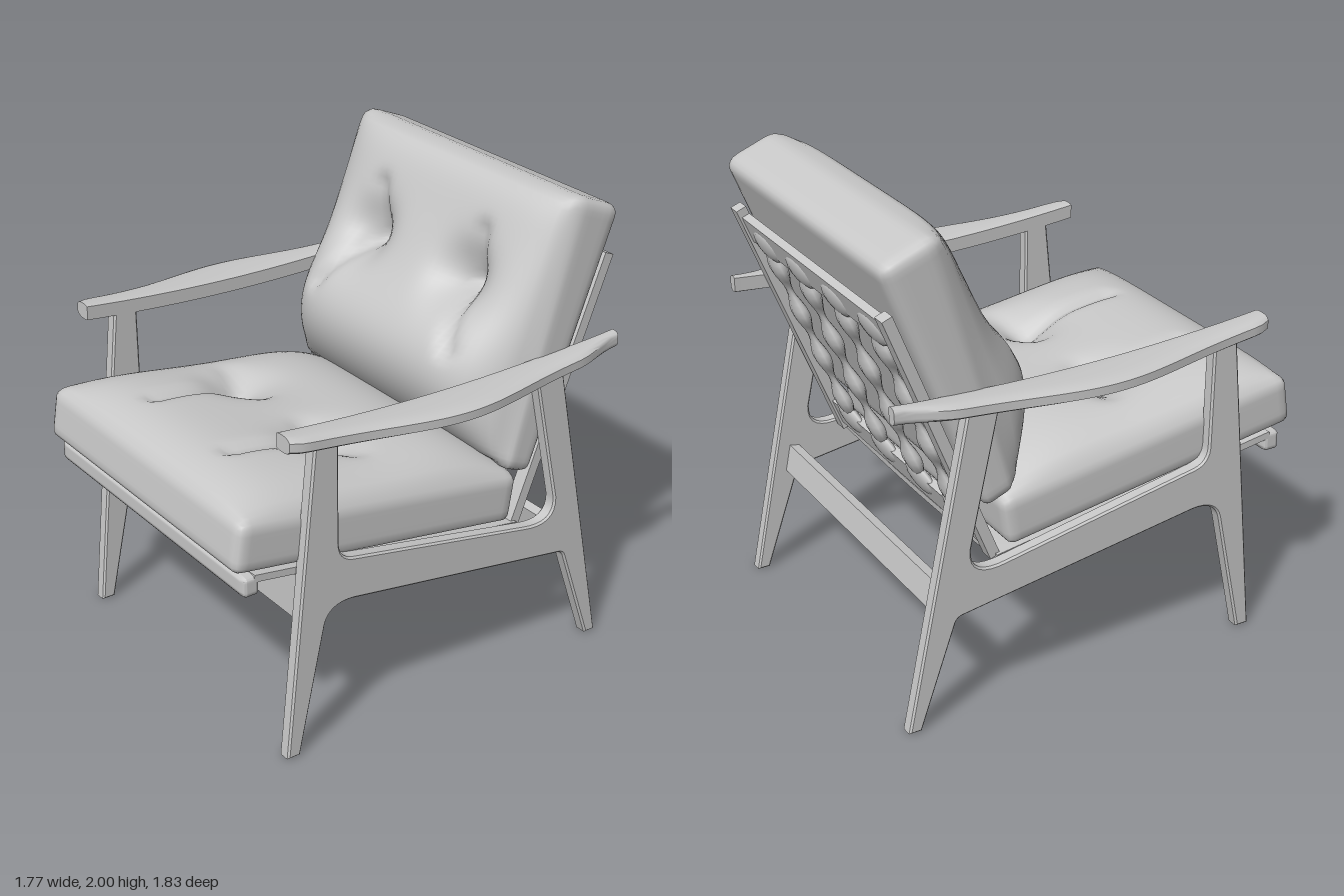
import * as THREE from 'three';
import { mergeVertices, toCreasedNormals } from 'three/addons/utils/BufferGeometryUtils.js';

const grey = new THREE.MeshStandardMaterial({ color: 0xc8c8c8 });
grey.name = 'light grey';

function add(parent, name, geometry, x = 0, y = 0, z = 0) {
  const mesh = new THREE.Mesh(geometry, grey);
  mesh.name = name;
  mesh.position.set(x, y, z);
  parent.add(mesh);
  return mesh;
}

// Moves every vertex of a geometry by a rule, then smooths it with sharp creases
function warp(geometry, rule, crease = 0.7) {
  const p = geometry.attributes.position;
  const v = new THREE.Vector3();
  for (let i = 0; i < p.count; i++) {
    rule(v.fromBufferAttribute(p, i));
    p.setXYZ(i, v.x, v.y, v.z);
  }
  geometry.deleteAttribute('uv');
  geometry.deleteAttribute('normal');
  return toCreasedNormals(mergeVertices(geometry, 1e-4), crease);
}

const bell = (d, r) => Math.exp(-(d * d) / (r * r));

// Distance from a point to a segment, for cushion creases
function segmentDistance(x, z, ax, az, bx, bz) {
  const dx = bx - ax, dz = bz - az;
  const t = THREE.MathUtils.clamp(((x - ax) * dx + (z - az) * dz) / (dx * dx + dz * dz), 0, 1);
  return Math.hypot(x - ax - t * dx, z - az - t * dz);
}

// Rounded block whose upper face is raised by swell(x, z)
function cushion(w, h, l, r, swell) {
  const inner = new THREE.Vector3(w / 2 - r, h / 2 - r, l / 2 - r);
  const low = inner.clone().negate();
  const core = new THREE.Vector3();
  return warp(new THREE.BoxGeometry(w, h, l, 48, 8, 48), (v) => {
    const lift = swell(v.x, v.z);
    core.copy(v).clamp(low, inner);
    v.sub(core).setLength(r).add(core);
    v.y += lift * (v.y / h + 0.5);
  }, 1.2);
}

function seatSwell(x, z) {
  const ax = Math.abs(x);
  const dome = (1 - Math.pow(ax / 0.71, 6)) * (1 - Math.pow(Math.abs(z) / 0.68, 6));
  const tuft = 0.075 * bell(Math.hypot(ax - 0.3, z - 0.03), 0.13);
  const fold = 0.03 * bell(segmentDistance(ax, z, 0.3, 0.03, 0.28, 0.45), 0.035)
    + 0.02 * bell(segmentDistance(ax, z, 0.17, 0.02, 0.45, -0.02), 0.05);
  return dome * (0.11 + 0.025 * bell(z + 0.33, 0.25) - tuft - fold);
}

function backSwell(x, z) {
  const ax = Math.abs(x);
  const edge = (1 - Math.pow(ax / 0.705, 6)) * (1 - Math.pow(Math.abs(z) / 0.57, 8));
  const lumbar = 0.17 * bell(z - 0.26, 0.3) + 0.03 * bell(z + 0.15, 0.22);
  const tuft = 0.13 * bell(Math.hypot(ax - 0.31, z + 0.1), 0.13);
  const fold = 0.035 * bell(segmentDistance(ax, z, 0.31, -0.1, 0.44, 0.18), 0.035)
    + 0.035 * bell(segmentDistance(ax, z, 0.31, -0.1, 0.33, -0.3), 0.045);
  return -0.1 * z + edge * (0.1 + lumbar - tuft - fold);
}

// Front leg, side rail and back leg in one piece, drawn in the z-y plane
function sideFrameGeometry() {
  const s = new THREE.Shape();
  s.moveTo(0.73, 0);
  s.lineTo(0.595, 1.37);
  s.lineTo(0.49, 1.37);
  s.lineTo(0.485, 0.9);
  s.quadraticCurveTo(0.485, 0.83, 0.42, 0.815);
  s.lineTo(-0.44, 0.652);
  s.quadraticCurveTo(-0.61, 0.615, -0.6, 0.74);
  s.lineTo(-0.47, 1.33);
  s.lineTo(-0.607, 1.33);
  s.lineTo(-0.88, 0);
  s.lineTo(-0.825, 0);
  s.lineTo(-0.672, 0.435);
  s.quadraticCurveTo(-0.665, 0.46, -0.64, 0.464);
  s.lineTo(0.42, 0.63);
  s.quadraticCurveTo(0.53, 0.64, 0.55, 0.56);
  s.lineTo(0.67, 0);
  const g = new THREE.ExtrudeGeometry(s, {
    depth: 0.044, bevelEnabled: true, bevelSize: 0.008, bevelOffset: -0.008,
    bevelThickness: 0.008, bevelSegments: 1, curveSegments: 8,
  });
  g.translate(0, 0, -0.022);
  g.rotateY(-Math.PI / 2);
  return toCreasedNormals(g, 0.5);
}

// Paddle-shaped armrest: wide in the middle, dipping slightly, thinner at the outer edge
function armGeometry(side) {
  return warp(new THREE.BoxGeometry(1, 1, 1, 10, 4, 40), (v) => {
    const k = side * v.x + 0.5;
    const z = -0.09 + v.z * 1.63;
    const bulge = bell(z + 0.03, 0.4);
    const inside = 0.69 + 0.008 * THREE.MathUtils.smoothstep(-z, 0.5, 0.9);
    const outside = 0.79 + 0.095 * bulge - 0.05 * THREE.MathUtils.smoothstep(-z, 0.65, 0.9)
      - 0.02 * THREE.MathUtils.smoothstep(z, 0.67, 0.725);
    const thick = 0.07 * (1 - 0.5 * Math.pow(k, 6)) * (1 - 0.15 * Math.pow(1 - k, 8));
    const middle = 1.336 + 0.05 * Math.pow((z + 0.2) / 0.92, 2) + 0.005 * bulge * k * k;
    v.set(side * (inside + (outside - inside) * k), middle + v.y * thick, z);
  }, 0.7);
}

// Lumpy woven strap: a turned profile, flattened, running along z
function strapGeometry(length, lumps) {
  const points = [];
  const n = lumps * 8;
  for (let i = 0; i <= n; i++) {
    const t = i / n;
    const radius = 0.026 + 0.042 * Math.pow(Math.sin(t * lumps * Math.PI), 2);
    points.push(new THREE.Vector2(radius, (t - 0.5) * length));
  }
  const g = new THREE.LatheGeometry(points, 10);
  g.rotateX(Math.PI / 2);
  g.scale(1, 0.45, 1);
  return g;
}

export function createModel() {
  const chair = new THREE.Group();
  chair.name = 'armchair';

  // Side frames and armrests
  for (const side of [1, -1]) {
    const label = side > 0 ? 'left' : 'right';
    add(chair, label + 'SideFrame', sideFrameGeometry(), side * 0.72);
    add(chair, label + 'Armrest', armGeometry(side));
  }

  // Cross rails between the legs
  add(chair, 'frontCrossRail', new THREE.BoxGeometry(1.39, 0.2, 0.05), 0, 0.67, 0.605);
  add(chair, 'rearStretcher', new THREE.BoxGeometry(1.39, 0.12, 0.045), 0, 0.51, -0.69).rotation.x = 0.2;

  // Seat platform with front rail and sagging webbing
  add(chair, 'seatFrontRail', cushion(1.38, 0.085, 0.07, 0.015, () => 0), 0, 0.805, 0.845);
  const webbing = warp(new THREE.BoxGeometry(1.38, 0.03, 1.3, 24, 1, 24), (v) => {
    const across = Math.max(0, Math.cos(v.x / 1.38 * Math.PI));
    v.y -= 0.09 * across * Math.cos(v.z / 1.3 * Math.PI * 0.85);
  });
  add(chair, 'seatWebbing', webbing, 0, 0.735, 0.19).rotation.x = -0.157;

  // Cushions
  add(chair, 'seatCushion', cushion(1.41, 0.21, 1.35, 0.035, seatSwell), 0, 0.88, 0.245).rotation.x = -0.157;
  add(chair, 'backCushion', cushion(1.4, 0.2, 1.14, 0.045, backSwell), 0, 1.426, -0.621).rotation.x = 1.19;

  // Reclined back frame: uprights, cross rails and straps
  const back = new THREE.Group();
  back.name = 'backFrame';
  back.position.set(0, 1.179, -0.672);
  back.rotation.x = 1.19;
  chair.add(back);
  for (const side of [1, -1]) {
    add(back, side > 0 ? 'leftUpright' : 'rightUpright', new THREE.BoxGeometry(0.06, 0.045, 1.17), side * 0.645);
  }
  add(back, 'topRail', new THREE.BoxGeometry(1.26, 0.035, 0.12), 0, 0.005, -0.49);
  add(back, 'bottomRail', new THREE.BoxGeometry(1.26, 0.035, 0.12), 0, 0.005, 0.49);
  for (const x of [-0.47, -0.16, 0.16, 0.47]) {
    add(back, 'strap', strapGeometry(0.94, 4), x, 0, 0);
    for (const end of [-1, 1]) {
      const knot = new THREE.SphereGeometry(0.12, 12, 8);
      knot.scale(1, 0.22, 0.6);
      add(back, 'strapKnot', knot, x, 0, end * 0.46);
    }
  }
  return chair;
}
